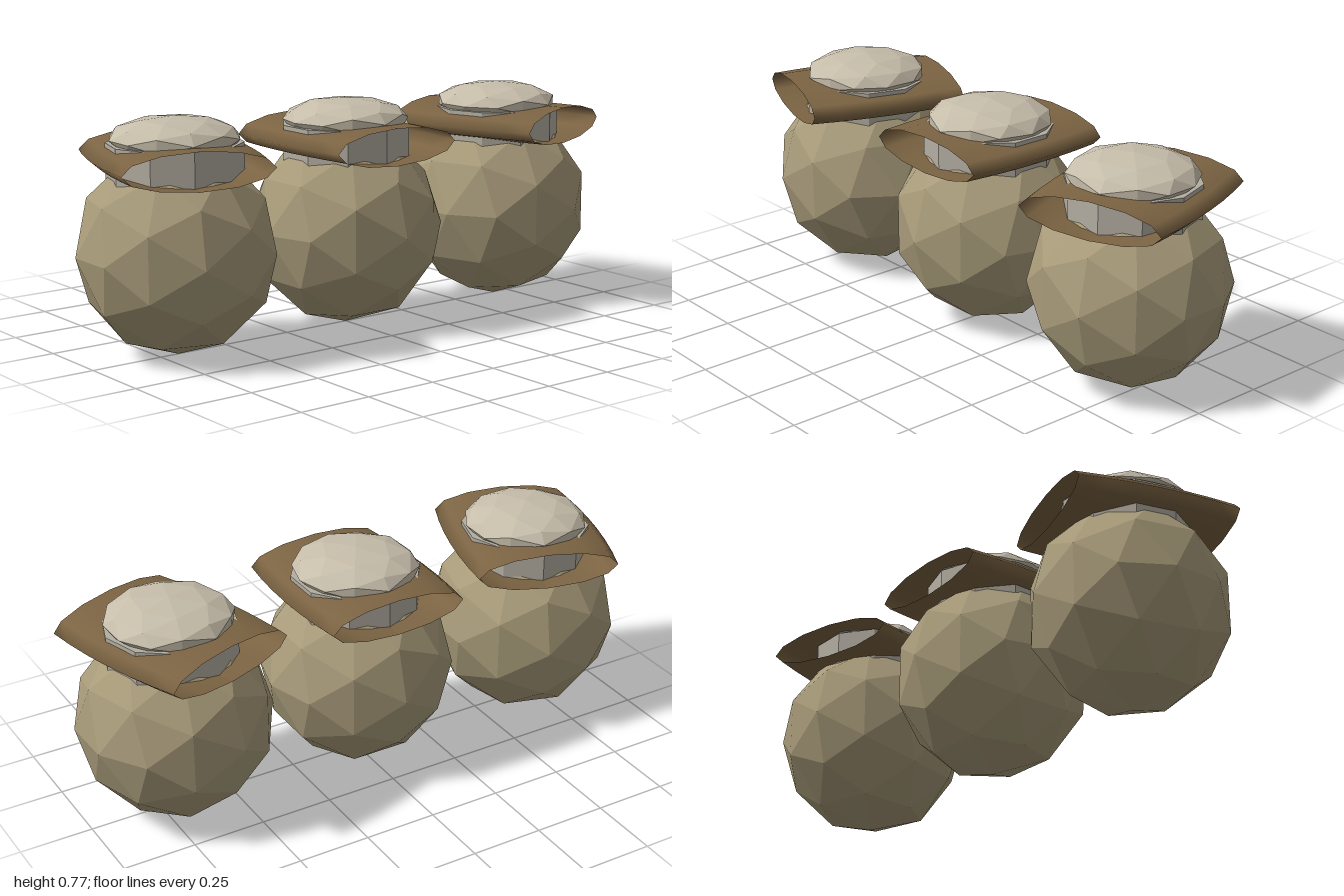
import * as THREE from 'three';

const mat = (name, color, extra = {}) => {
  const m = new THREE.MeshStandardMaterial({ color, ...extra });
  m.name = name;
  return m;
};

export function createModel() {
  const clay = mat('clay', 0xa89b7a, { flatShading: true });
  const cloth = mat('brownCloth', 0x7c6443, { side: THREE.DoubleSide });
  const neckStone = mat('neckStone', 0xb4aea2, { flatShading: true });
  const lidStone = mat('lidStone', 0xc6bdaa, { flatShading: true });

  // faceted round body
  const bodyGeo = new THREE.IcosahedronGeometry(1, 1).scale(0.328, 0.341, 0.328);

  // ten-sided neck between body and lid
  const neckGeo = new THREE.CylinderGeometry(0.22, 0.22, 0.14, 10);

  // flattened faceted lid
  const lidGeo = new THREE.IcosahedronGeometry(1, 1).scale(0.213, 0.07, 0.213);

  // open flattened sleeve running front to back, a little wider in the middle
  const wrapGeo = new THREE.CylinderGeometry(1, 1, 0.556, 12, 6, true).rotateX(Math.PI / 2);
  const p = wrapGeo.attributes.position;
  for (let i = 0; i < p.count; i++) {
    const t = p.getZ(i) / 0.278;
    p.setX(i, p.getX(i) * (0.245 + 0.022 * (1 - t * t)));
    p.setY(i, p.getY(i) * 0.0625);
  }
  wrapGeo.computeVertexNormals();

  const parts = [
    ['body', bodyGeo, clay, 0.341],
    ['neck', neckGeo, neckStone, 0.62],
    ['wrap', wrapGeo, cloth, 0.639],
    ['lid', lidGeo, lidStone, 0.705],
  ];

  // three jars in a row, the outer ones turned outwards
  const model = new THREE.Group();
  model.name = 'jars';
  [['rightJar', -1], ['middleJar', 0], ['leftJar', 1]].forEach(([name, side]) => {
    const jar = new THREE.Group();
    jar.name = name;
    for (const [partName, geo, material, y] of parts) {
      const mesh = new THREE.Mesh(geo, material);
      mesh.name = partName;
      mesh.position.y = y;
      jar.add(mesh);
    }
    jar.position.x = side * 0.683;
    jar.rotation.y = side * 0.3;
    model.add(jar);
  });
  return model;
}
